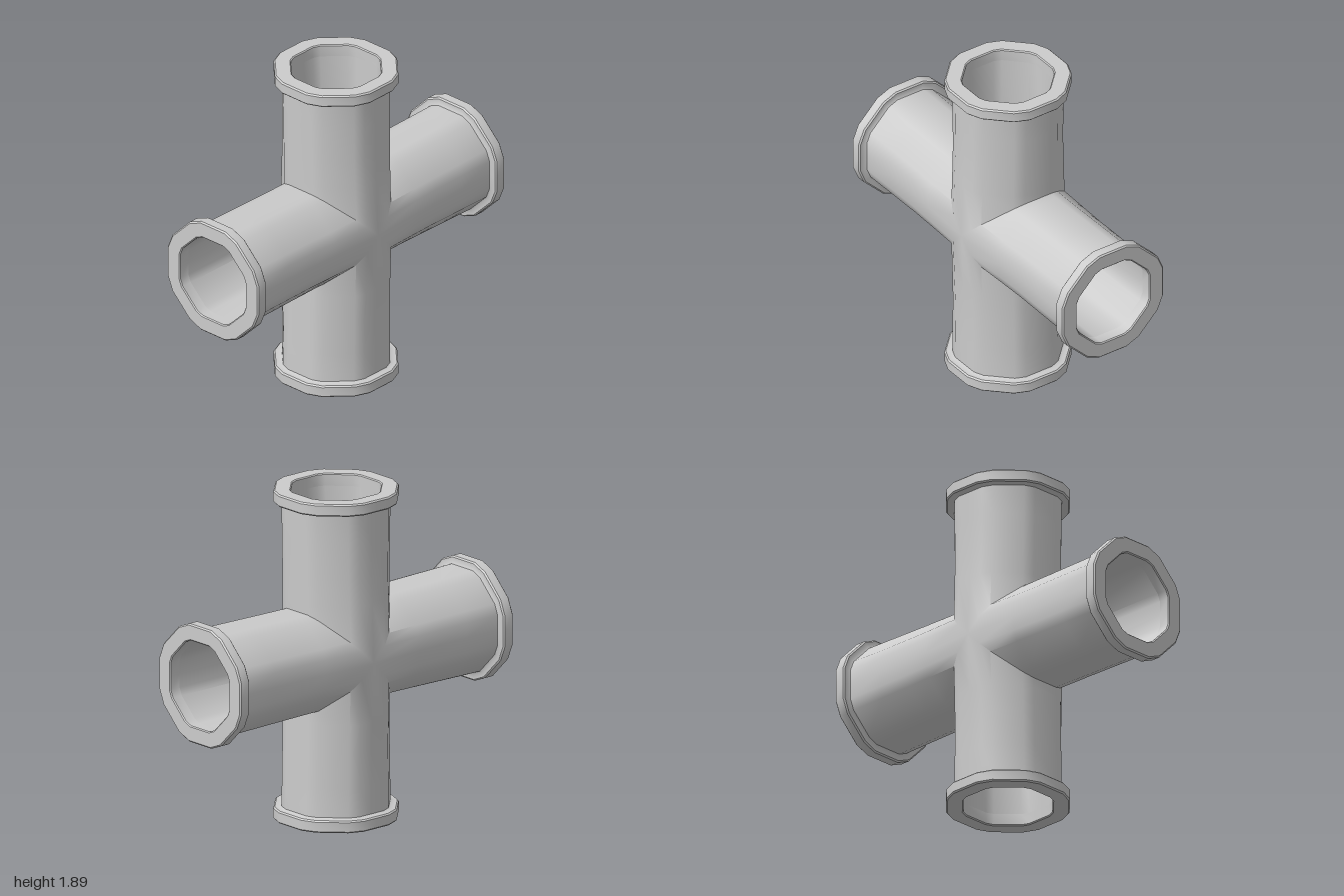
import * as THREE from 'three';
import { mergeGeometries, toCreasedNormals } from 'three/addons/utils/BufferGeometryUtils.js';

const material = new THREE.MeshStandardMaterial({ color: 0xcccccc });
const CREASE = 0.62;
const CENTRE_Y = 0.945;
const BORE = 0.245, PIPE = 0.295, RIM = 0.34, RIM_DEPTH = 0.07;

// Octagon with clipped corners, as [u, z] pairs; a = half width, c = corner cut
function section(a, c) {
  const h = a * Math.tan(Math.PI / 8) - c;
  const points = [];
  for (let k = 0; k < 8; k++) {
    const cos = Math.cos(k * Math.PI / 4), sin = Math.sin(k * Math.PI / 4);
    // the front and back flats get a middle point for the mitre
    for (const v of k % 4 === 2 ? [-h, 0, h] : [-h, h]) {
      points.push([a * cos - v * sin, a * sin + v * cos]);
    }
  }
  return points;
}

// Ring across an arm running along +x
const ring = (t, a, c, squeeze = 1) => section(a, c).map(([u, z]) => [t, u * squeeze, z]);
// Mitred ring where the four arms meet
const mitre = (a, c, squeeze = 1) => ring(0, a, c, squeeze).map(([, u, z]) => [Math.abs(u), u, z]);

// Skin a series of rings
function loft(rings) {
  const pos = [];
  for (let i = 0; i < rings.length - 1; i++) {
    const A = rings[i], B = rings[i + 1], n = A.length;
    for (let j = 0; j < n; j++) {
      const k = (j + 1) % n;
      pos.push(...A[j], ...A[k], ...B[j], ...A[k], ...B[k], ...B[j]);
    }
  }
  const g = new THREE.BufferGeometry();
  g.setAttribute('position', new THREE.Float32BufferAttribute(pos, 3));
  return g;
}

// Swell the crossing slightly towards front and back
function swell(g) {
  const p = g.attributes.position;
  for (let i = 0; i < p.count; i++) {
    const f = Math.max(0, 1 - Math.hypot(p.getX(i), p.getY(i)) / 0.5);
    p.setZ(i, p.getZ(i) * (1 + 0.07 * f));
  }
  return g;
}

// Outer skin narrows a little towards the crossing
function outerArm(length) {
  const end = length - RIM_DEPTH;
  const rings = [mitre(PIPE, 0.035, 0.96)];
  for (const t of [0.34, 0.5, 0.7, end]) {
    rings.push(ring(t, PIPE, 0.035, 0.96 + 0.04 * (t - 0.28) / (end - 0.28)));
  }
  return swell(loft(rings));
}

const innerArm = (length) => loft([ring(length - RIM_DEPTH, BORE, 0.025), mitre(BORE, 0.025)]);

// Rim collar with softened edges
function collar(length) {
  const back = length - RIM_DEPTH;
  return loft([
    ring(back - 0.008, PIPE - 0.003, 0.035),
    ring(back, PIPE + 0.01, 0.04),
    ring(back, RIM - 0.008, 0.048),
    ring(back + 0.008, RIM, 0.05),
    ring(length - 0.008, RIM, 0.05),
    ring(length, RIM - 0.008, 0.048),
    ring(length, BORE + 0.006, 0.026),
    ring(length - 0.006, BORE, 0.025),
    ring(back, BORE, 0.025),
  ]);
}

export function createModel() {
  const group = new THREE.Group();
  group.name = 'pipeCross';
  const arms = [['left', 1], ['top', CENTRE_Y], ['right', 1], ['bottom', CENTRE_Y]];
  const outer = [], inner = [];

  const add = (geometry, name) => {
    const mesh = new THREE.Mesh(toCreasedNormals(geometry, CREASE), material);
    mesh.name = name;
    mesh.position.y = CENTRE_Y;
    group.add(mesh);
  };

  arms.forEach(([side, length], i) => {
    const turn = i * Math.PI / 2;
    outer.push(outerArm(length).rotateZ(turn));
    inner.push(innerArm(length).rotateZ(turn));
    add(collar(length).rotateZ(turn), side + 'Collar');
  });

  add(mergeGeometries(outer), 'pipeBody');
  add(mergeGeometries(inner), 'pipeBore');
  return group;
}
